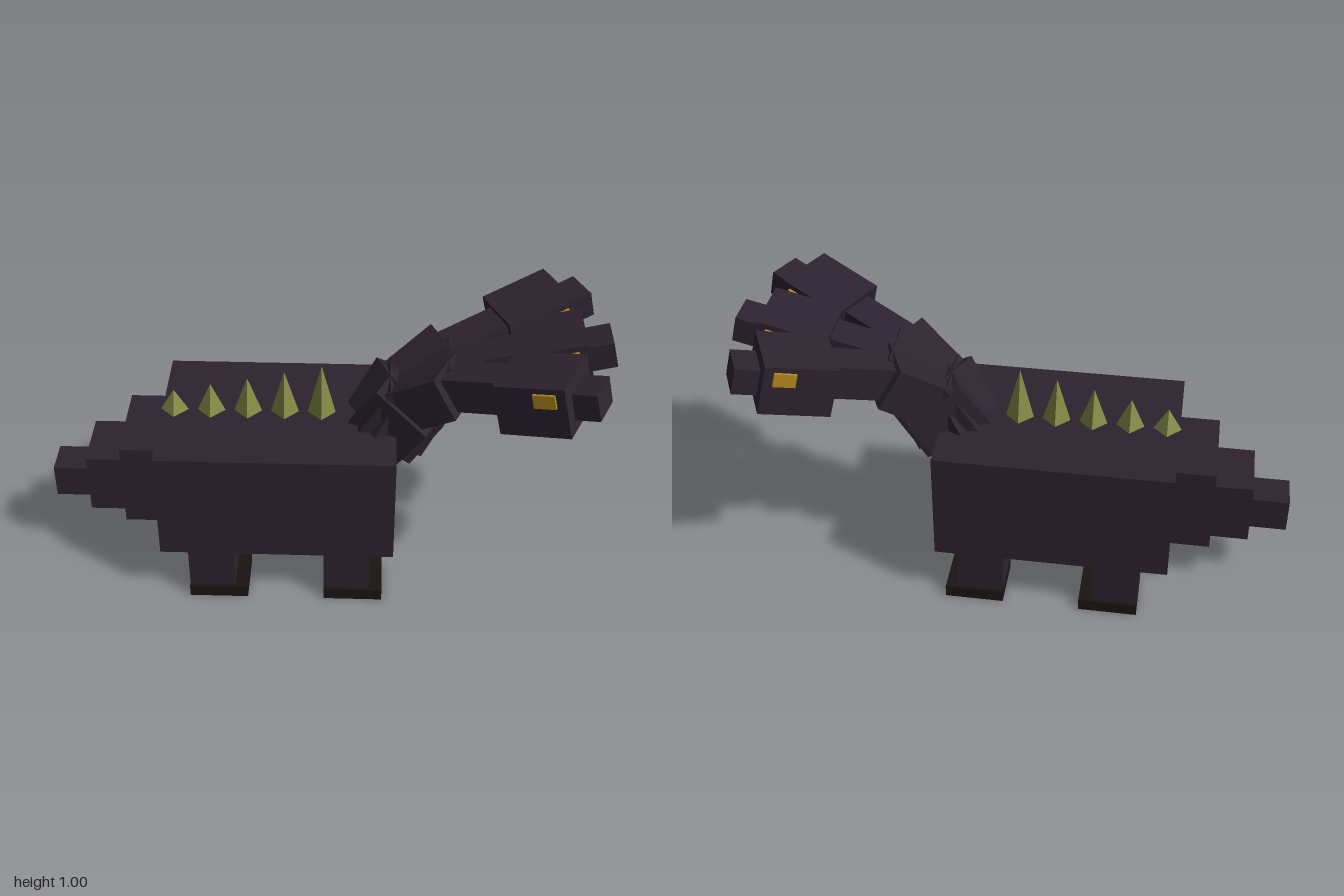
import * as THREE from 'three';

const mat = (color) => new THREE.MeshStandardMaterial({ color, flatShading: true });

export function createModel() {
  const model = new THREE.Group();
  const hide = mat(0x2d2330), hoof = mat(0x1a1512), olive = mat(0x858b45), gold = mat(0xb5891c);

  // Box by size and centre, pitched upwards by a number of degrees
  const box = (parent, name, material, size, pos, pitch = 0) => {
    const mesh = new THREE.Mesh(new THREE.BoxGeometry(...size), material);
    mesh.name = name;
    mesh.position.set(...pos);
    mesh.rotation.z = THREE.MathUtils.degToRad(pitch);
    parent.add(mesh);
    return mesh;
  };

  // Trunk and belly plate
  box(model, 'body', hide, [0.84, 0.42, 0.605], [-0.17, 0.41, 0]);
  box(model, 'belly', olive, [0.74, 0.02, 0.53], [-0.17, 0.205, 0]);

  // Stepped tail
  box(model, 'tailBase', hide, [0.15, 0.325, 0.33], [-0.655, 0.393, 0]);
  box(model, 'tailMiddle', hide, [0.145, 0.23, 0.23], [-0.793, 0.355, 0]);
  box(model, 'tailTip', hide, [0.14, 0.125, 0.13], [-0.93, 0.323, 0]);

  // Four legs with feet
  for (const side of [1, -1]) {
    for (const [end, x] of [['front', 0.083], ['back', -0.407]]) {
      box(model, end + 'Leg', hide, [0.165, 0.2, 0.165], [x, 0.135, side * 0.219]);
      box(model, end + 'Foot', hoof, [0.212, 0.045, 0.19], [x + 0.023, 0.0225, side * 0.22]);
    }
  }

  // Back spikes, growing towards the necks
  for (let i = 0; i < 5; i++) {
    const h = 0.083 + i * 0.029;
    const spike = new THREE.Mesh(new THREE.ConeGeometry(0.05, h, 4), olive);
    spike.name = 'backSpike';
    spike.position.set(-0.545 + i * 0.132, 0.62 + h / 2, 0);
    model.add(spike);
  }

  // Three necks with heads, fanned out around one pivot
  const pivotX = 0.22;
  for (const [name, yaw] of [['middle', 0], ['left', 24.5], ['right', -24.5]]) {
    const neck = new THREE.Group();
    neck.name = name + 'NeckAndHead';
    neck.position.x = pivotX;
    neck.rotation.y = THREE.MathUtils.degToRad(yaw);
    model.add(neck);
    const part = (n, m, size, x, y, pitch) => box(neck, n, m, size, [x - pivotX, y, 0], pitch);
    part('neckBase', hide, [0.21, 0.23, 0.235], 0.2625, 0.635, 56.5);
    part('neckMiddle', hide, [0.22, 0.163, 0.2], 0.378, 0.76, 33);
    part('neckTop', hide, [0.26, 0.125, 0.13], 0.54, 0.835, 14.2);
    part('head', hide, [0.25, 0.186, 0.23], 0.78, 0.884, 14.2);
    part('snout', hide, [0.1, 0.098, 0.126], 0.938, 0.92, 14.2);
    part('eyes', gold, [0.077, 0.05, 0.25], 0.82, 0.944, 14.2);
  }
  return model;
}
